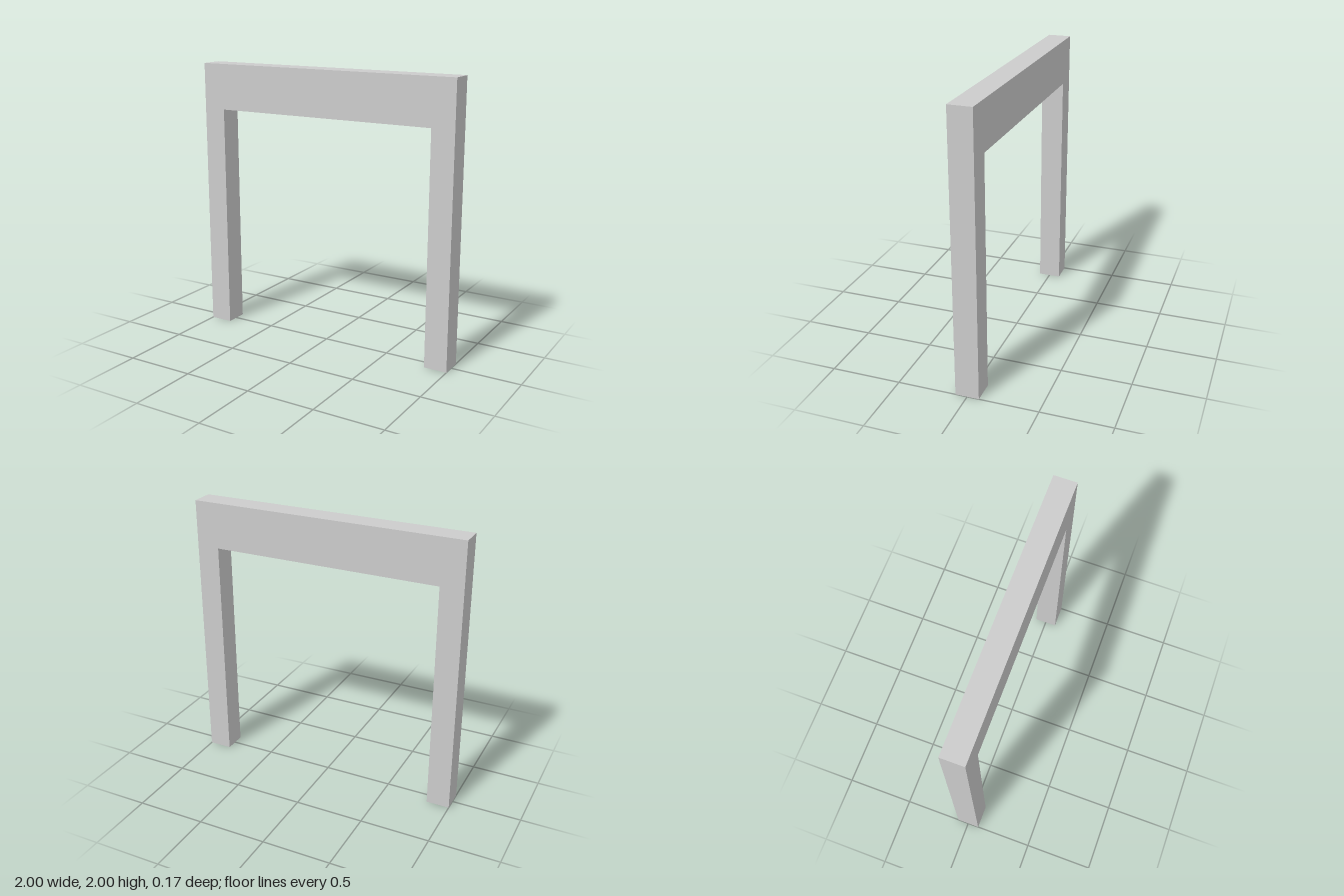
import * as THREE from 'three';

const HALF_WIDTH = 1;
const HEIGHT = 2;
const POST = 1 / 6;   // post width and frame depth
const BEAM = 1 / 3;   // height of the top beam

export function createModel() {
  const group = new THREE.Group();
  group.name = 'doorFrame';

  // Outline of two posts joined by a deep top beam, in one seamless piece
  const inner = HALF_WIDTH - POST;
  const underside = HEIGHT - BEAM;
  const outline = new THREE.Shape([
    [-HALF_WIDTH, 0], [-inner, 0], [-inner, underside], [inner, underside],
    [inner, 0], [HALF_WIDTH, 0], [HALF_WIDTH, HEIGHT], [-HALF_WIDTH, HEIGHT],
  ].map(([x, y]) => new THREE.Vector2(x, y)));

  const geometry = new THREE.ExtrudeGeometry(outline, { depth: POST, bevelEnabled: false });
  geometry.translate(0, 0, -POST / 2);

  const frame = new THREE.Mesh(geometry, new THREE.MeshStandardMaterial({ color: 0xcccccc, flatShading: true }));
  frame.name = 'postsAndBeam';
  group.add(frame);
  return group;
}
